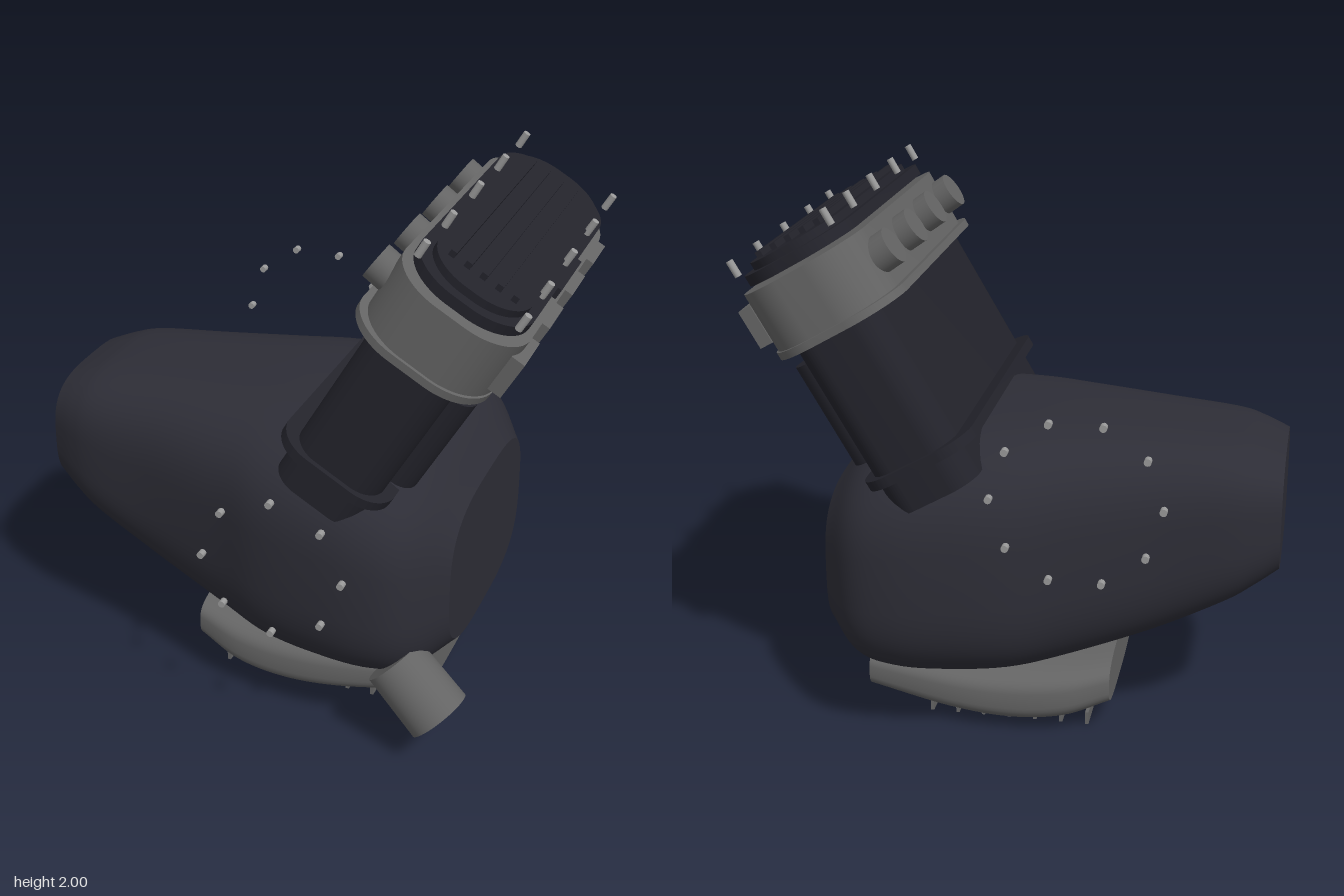
import * as THREE from 'three';
import { toCreasedNormals } from 'three/addons/utils/BufferGeometryUtils.js';

const paint = (name, color) => {
  const m = new THREE.MeshStandardMaterial({ color });
  m.name = name;
  return m;
};

// Loft of superellipse rings along x; each section is [x, bottom, top, halfWidth]
function loft(sections, power, rings = 48, sides = 64) {
  const heights = new THREE.CatmullRomCurve3(
    sections.map(([x, b, t]) => new THREE.Vector3(x, b, t)), false, 'catmullrom', 0.5);
  const widths = new THREE.CatmullRomCurve3(
    sections.map((s) => new THREE.Vector3(s[3], 0, 0)), false, 'catmullrom', 0.5);
  const pos = [], index = [];
  const bend = (v) => Math.sign(v) * Math.abs(v) ** (2 / power);
  const ring = (u) => {
    const start = pos.length / 3;
    const p = heights.getPoint(u), w = widths.getPoint(u).x;
    for (let j = 0; j < sides; j++) {
      const a = (j / sides) * Math.PI * 2;
      pos.push(p.x, (p.y + p.z) / 2 + bend(Math.sin(a)) * (p.z - p.y) / 2, bend(Math.cos(a)) * w);
    }
    return start;
  };
  for (let i = 0; i <= rings; i++) {
    const a = ring(i / rings);
    if (i === 0) continue;
    for (let j = 0; j < sides; j++) {
      const k = (j + 1) % sides, p = a - sides;
      index.push(p + j, a + j, p + k, a + j, a + k, p + k);
    }
  }
  // Flat end caps with their own corners
  for (const end of [0, 1]) {
    const a = ring(end), p = heights.getPoint(end), c = pos.length / 3;
    pos.push(p.x, (p.y + p.z) / 2, 0);
    for (let j = 0; j < sides; j++) {
      const k = (j + 1) % sides;
      if (end) index.push(c, a + k, a + j);
      else index.push(c, a + j, a + k);
    }
  }
  const g = new THREE.BufferGeometry();
  g.setAttribute('position', new THREE.Float32BufferAttribute(pos, 3));
  g.setIndex(index);
  g.computeVertexNormals();
  return g;
}

// Upright slab with rounded corners: half sizes in x and z, from y0 to y1
function slab(hx, hz, r, y0, y1) {
  const s = new THREE.Shape();
  s.moveTo(hx, -hz + r);
  s.lineTo(hx, hz - r);
  s.absarc(hx - r, hz - r, r, 0, Math.PI / 2);
  s.absarc(-hx + r, hz - r, r, Math.PI / 2, Math.PI);
  s.absarc(-hx + r, -hz + r, r, Math.PI, Math.PI * 1.5);
  s.absarc(hx - r, -hz + r, r, Math.PI * 1.5, Math.PI * 2);
  const g = new THREE.ExtrudeGeometry(s, { depth: y1 - y0, bevelEnabled: false, curveSegments: 14 });
  g.rotateX(-Math.PI / 2);
  g.translate(0, y0, 0);
  return toCreasedNormals(g, 0.6);
}

export function createModel() {
  const bodyPaint = paint('charcoal', 0x2d2d36);
  const darkPaint = paint('dark charcoal', 0x23232b);
  const metal = paint('grey metal', 0x646464);
  const steel = paint('bolt steel', 0x999999);

  const model = new THREE.Group();
  model.name = 'engine';
  const add = (parent, name, geometry, material, x = 0, y = 0, z = 0) => {
    const m = new THREE.Mesh(geometry, material);
    m.name = name;
    m.position.set(x, y, z);
    parent.add(m);
    return m;
  };

  // Main casing
  add(model, 'casing', loft([
    [-0.94, 0.655, 1.09, 0.305], [-0.85, 0.59, 1.125, 0.35], [-0.75, 0.525, 1.15, 0.383],
    [-0.5, 0.4, 1.172, 0.43], [-0.2, 0.295, 1.188, 0.52], [0, 0.25, 1.19, 0.6],
    [0.2, 0.235, 1.18, 0.638], [0.4, 0.235, 1.135, 0.645], [0.55, 0.265, 1.06, 0.595],
    [0.675, 0.355, 0.925, 0.435],
  ], 3.2), bodyPaint);

  // Oil pan with cooling fins
  add(model, 'oilPan', loft([
    [-0.35, 0.1, 0.29, 0.325], [-0.18, 0.036, 0.268, 0.37], [0.02, 0.016, 0.255, 0.385],
    [0.25, 0.036, 0.255, 0.375], [0.56, 0.087, 0.265, 0.325],
  ], 3.3, 32), metal);
  for (let i = 0; i < 7; i++)
    add(model, 'panFin', new THREE.BoxGeometry(0.013, 0.05, 0.53), metal, -0.26 + i * 0.099, 0.028, 0);

  // Exhaust stub pointing down and out
  const from = new THREE.Vector3(0.503, 0.376, 0.505), to = new THREE.Vector3(0.685, 0.2, 0.53);
  const axis = to.clone().sub(from);
  const stub = add(model, 'exhaustStub', new THREE.CylinderGeometry(0.119, 0.114, axis.length(), 40), metal);
  stub.position.copy(from).addScaledVector(axis, 0.5);
  stub.quaternion.setFromUnitVectors(new THREE.Vector3(0, 1, 0), axis.normalize());

  // Rings of cover bolts on both sides
  const sideBolts = (count, cx, cy, radius, z) => {
    for (let i = 0; i < count; i++) {
      const a = (i / count) * Math.PI * 2;
      const g = new THREE.CylinderGeometry(0.013, 0.013, 0.026, 12).rotateX(Math.PI / 2);
      add(model, 'sideBolt', g, steel, cx + radius * Math.cos(a), cy + radius * Math.sin(a), z);
    }
  };
  sideBolts(8, 0.11, 0.77, 0.26, 0.69);
  sideBolts(10, -0.275, 1.07, 0.293, -0.69);

  // Tilted cylinder bank, built upright in its own frame
  const bank = new THREE.Group();
  bank.name = 'cylinderBank';
  bank.position.set(0.28, 1.12, 0);
  bank.rotation.z = -Math.PI / 6;
  model.add(bank);

  add(bank, 'baseFlange', slab(0.22, 0.635, 0.13, 0, 0.037), darkPaint);
  add(bank, 'barrelBlock', slab(0.17, 0.615, 0.1, -0.12, 0.56), darkPaint, 0.007);
  add(bank, 'headLip', slab(0.258, 0.643, 0.19, 0.54, 0.568), metal, 0.01);
  add(bank, 'head', slab(0.243, 0.63, 0.19, 0.565, 0.79), metal, 0.022);
  add(bank, 'coverBase', slab(0.217, 0.602, 0.185, 0.803, 0.842), darkPaint, 0.022);
  add(bank, 'coverTop', slab(0.18, 0.56, 0.16, 0.842, 0.87), darkPaint, 0.026);
  add(bank, 'coverTab', new THREE.BoxGeometry(0.03, 0.04, 0.26), darkPaint, 0.24, 0.815, 0);

  // Cover ribs
  for (let i = -2; i <= 2; i++)
    add(bank, 'coverRib', new THREE.BoxGeometry(0.022, 0.024, 0.92), darkPaint, 0.03 + i * 0.06, 0.88, 0);

  // One flute, port pad and plug for each cylinder
  for (const z of [-0.44, -0.145, 0.145, 0.44]) {
    add(bank, 'flute', new THREE.CylinderGeometry(0.076, 0.076, 0.4, 28), darkPaint, 0.178, 0.285, z);
    add(bank, 'portPad', new THREE.BoxGeometry(0.05, 0.145, 0.175), metal, 0.272, 0.677, z);
    const plug = new THREE.CylinderGeometry(0.066, 0.066, 0.12, 28).rotateZ(Math.PI / 2 - 0.1);
    add(bank, 'plug', plug, metal, -0.22, 0.685, z);
  }

  // Cover bolts along both edges
  for (const x of [-0.17, 0.212])
    for (const z of [-0.555, -0.29, 0, 0.29, 0.555])
      add(bank, 'coverBolt', new THREE.CylinderGeometry(0.013, 0.013, 0.06, 12), steel, x, 0.885, z);

  return model;
}
